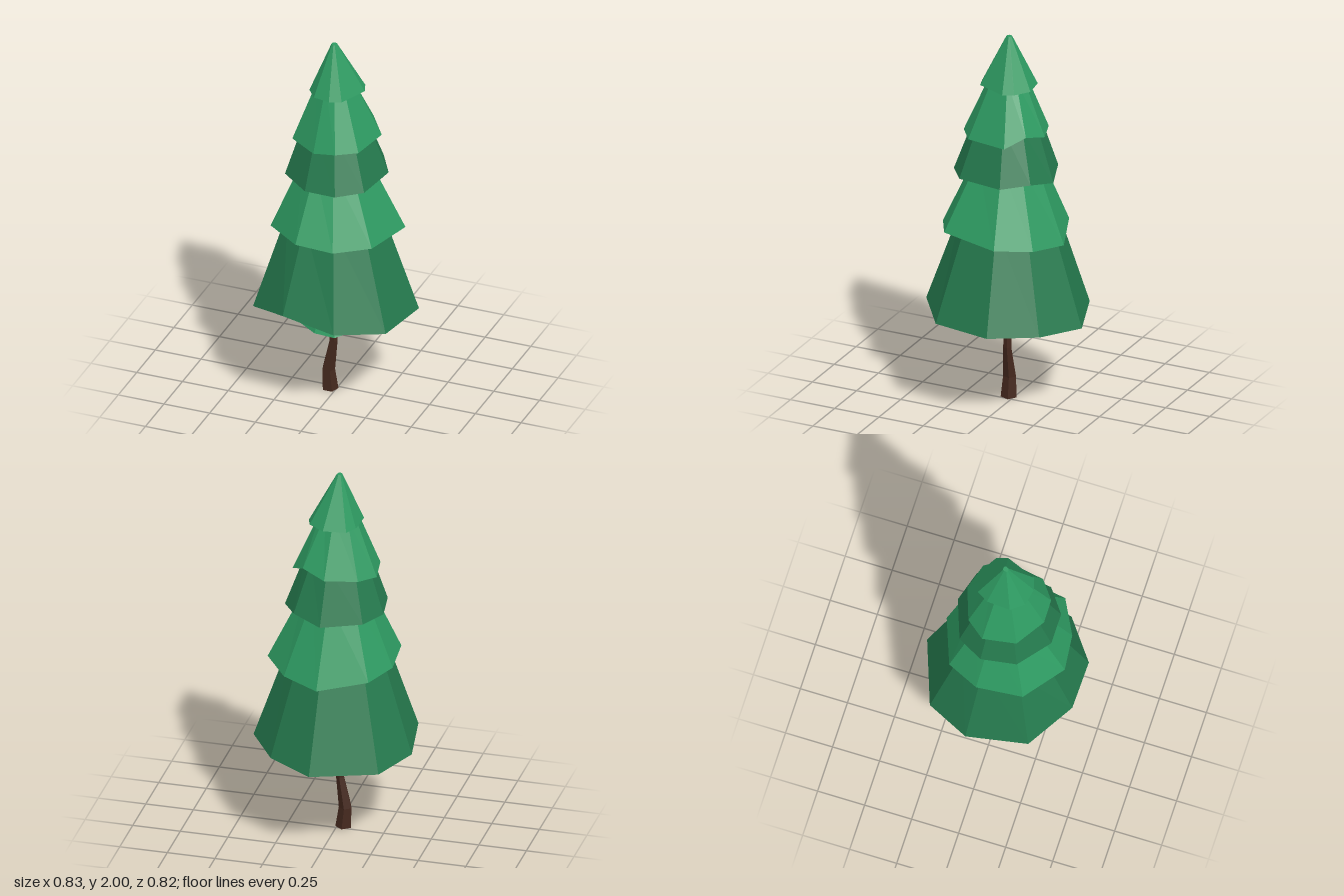
import * as THREE from 'three';

const lightGreen = new THREE.MeshStandardMaterial({ color: 0x2e9b62, flatShading: true });
const darkGreen = new THREE.MeshStandardMaterial({ color: 0x257a4e, flatShading: true });
const bark = new THREE.MeshStandardMaterial({ color: 0x44281d, flatShading: true });

// Skin a stack of rings (bottom to top, clockwise seen from above) and cap both ends
function loft(rings) {
  const pos = [];
  const tri = (...pts) => pts.forEach((p) => pos.push(p.x, p.y, p.z));
  const n = rings[0].length;
  const middle = (ring) => ring.reduce((s, p) => s.add(p), new THREE.Vector3()).divideScalar(n);
  const bottom = rings[0], top = rings[rings.length - 1];
  const lowMid = middle(bottom), topMid = middle(top);
  for (let i = 0; i < n; i++) {
    const j = (i + 1) % n;
    for (let r = 0; r < rings.length - 1; r++) {
      const a = rings[r], b = rings[r + 1];
      tri(a[i], b[i], b[j]);
      tri(a[i], b[j], a[j]);
    }
    tri(lowMid, bottom[i], bottom[j]);
    tri(topMid, top[j], top[i]);
  }
  const geo = new THREE.BufferGeometry();
  geo.setAttribute('position', new THREE.Float32BufferAttribute(pos, 3));
  geo.computeVertexNormals();
  return geo;
}

// One skirt of branches: uneven nine-sided hem [x, y, z] narrowing to a level top
function tier(hem, topY, shrink) {
  const cx = -0.016, cz = 0.018;
  const low = hem.map((p) => new THREE.Vector3(...p));
  const high = low.map((p) => new THREE.Vector3(cx + (p.x - cx) * shrink, topY, cz + (p.z - cz) * shrink));
  return loft([low, high]);
}

export function createModel() {
  const tree = new THREE.Group();
  tree.name = 'pineTree';
  const add = (name, geo, mat) => {
    const mesh = new THREE.Mesh(geo, mat);
    mesh.name = name;
    tree.add(mesh);
  };

  // Crooked five-sided trunk: [y, centre x, radius]
  const trunk = [[0, -0.033, 0.043], [0.11, -0.043, 0.035], [0.28, -0.015, 0.022], [0.41, -0.022, 0.019], [0.6, -0.016, 0.017]];
  add('trunk', loft(trunk.map(([y, cx, r]) => Array.from({ length: 5 }, (_, i) => {
    const a = (i / 5) * Math.PI * 2;
    return new THREE.Vector3(cx + r * Math.sin(a), y, 0.028 - r * Math.cos(a));
  }))), bark);

  // Small tuft under the lowest branches
  add('lowerTuft', tier([
    [0.01, 0.43, -0.18], [0.13, 0.44, -0.14], [0.19, 0.445, -0.06], [0.16, 0.435, 0.14], [0.07, 0.41, 0.22],
    [-0.04, 0.415, 0.22], [-0.18, 0.42, 0.13], [-0.2, 0.42, -0.04], [-0.14, 0.42, -0.13],
  ], 0.64, 0.5), lightGreen);

  // Five branch tiers, bottom to top
  add('branchTier1', tier([
    [0.03, 0.483, -0.415], [0.265, 0.5, -0.29], [0.415, 0.508, -0.067], [0.36, 0.51, 0.248], [0.14, 0.54, 0.41],
    [-0.137, 0.594, 0.41], [-0.365, 0.52, 0.248], [-0.417, 0.504, -0.07], [-0.303, 0.483, -0.295],
  ], 1.05, 0.57), darkGreen);

  add('branchTier2', tier([
    [0.02, 0.918, -0.308], [0.212, 0.94, -0.228], [0.34, 0.963, -0.07], [0.28, 0.985, 0.24], [0.105, 0.968, 0.333],
    [-0.09, 0.99, 0.355], [-0.29, 0.977, 0.195], [-0.31, 0.97, -0.047], [-0.228, 0.955, -0.216],
  ], 1.35, 0.48), lightGreen);

  add('branchTier3', tier([
    [0.018, 1.25, -0.248], [0.17, 1.285, -0.194], [0.252, 1.267, -0.06], [0.217, 1.268, 0.185], [0.094, 1.263, 0.277],
    [-0.07, 1.265, 0.277], [-0.232, 1.265, 0.145], [-0.26, 1.263, -0.04], [-0.187, 1.26, -0.174],
  ], 1.55, 0.62), darkGreen);

  add('branchTier4', tier([
    [0.01, 1.49, -0.195], [0.134, 1.525, -0.15], [0.212, 1.475, -0.065], [0.174, 1.475, 0.156], [0.076, 1.48, 0.23],
    [-0.043, 1.465, 0.23], [-0.197, 1.47, 0.132], [-0.225, 1.47, -0.042], [-0.152, 1.48, -0.138],
  ], 1.79, 0.4), lightGreen);

  add('treeTop', tier([
    [0.035, 1.737, -0.127], [0.118, 1.74, -0.076], [0.138, 1.737, -0.018], [0.075, 1.74, 0.138], [0.013, 1.738, 0.158],
    [-0.076, 1.738, 0.14], [-0.127, 1.738, 0.074], [-0.118, 1.736, -0.05], [-0.083, 1.736, -0.11],
  ], 2, 0.1), lightGreen);

  return tree;
}
